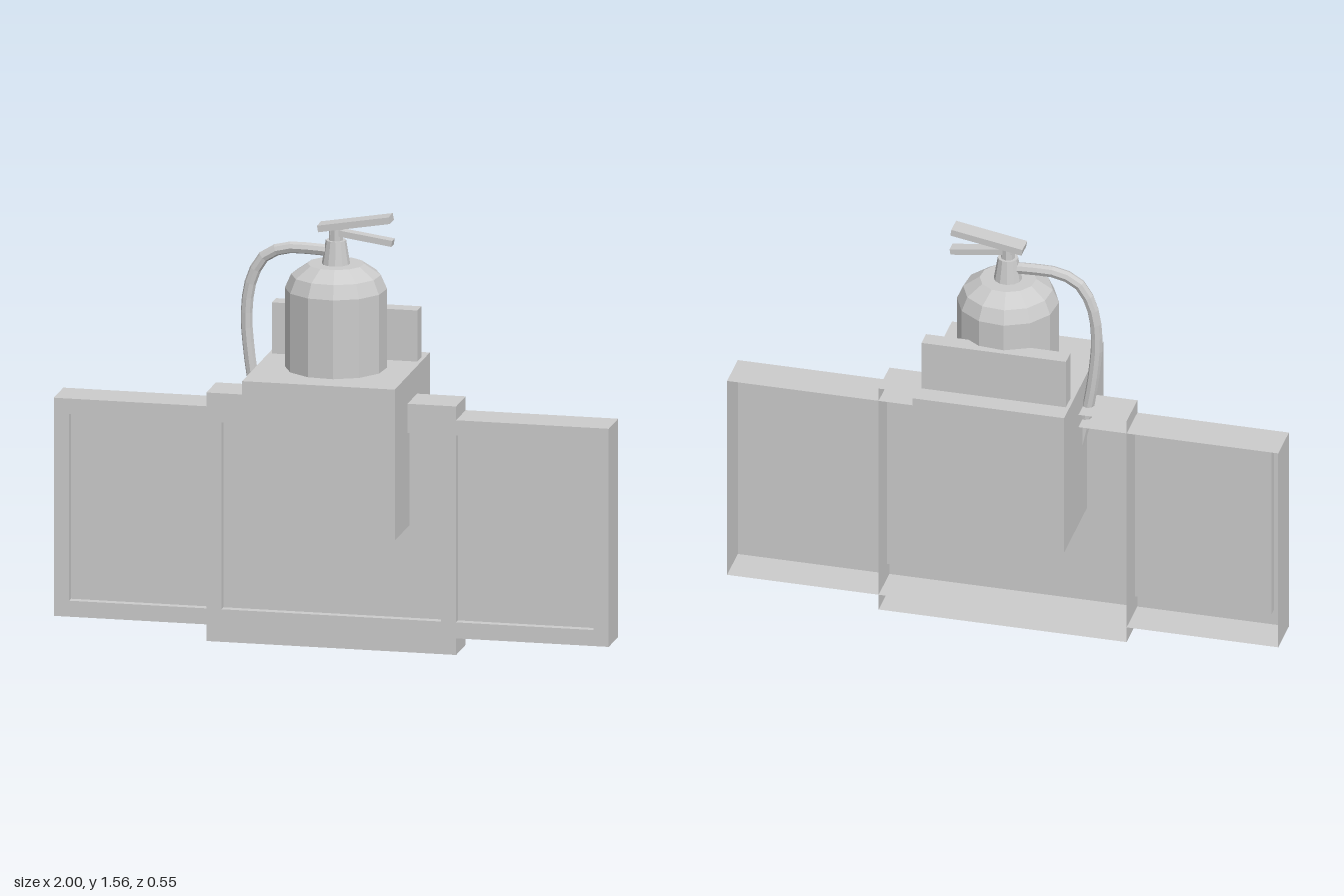
import * as THREE from 'three';

const grey = new THREE.MeshStandardMaterial({ color: 0xcccccc, flatShading: true, side: THREE.DoubleSide });

function add(parent, name, geometry, x = 0, y = 0, z = 0) {
  const mesh = new THREE.Mesh(geometry, grey);
  mesh.name = name;
  mesh.position.set(x, y, z);
  parent.add(mesh);
  return mesh;
}

// Box given by its lower and upper corners
function block(parent, name, [x0, y0, z0], [x1, y1, z1]) {
  return add(parent, name, new THREE.BoxGeometry(x1 - x0, y1 - y0, z1 - z0),
    (x0 + x1) / 2, (y0 + y1) / 2, (z0 + z1) / 2);
}

function rect(Type, x, y0, y1) {
  return new Type([[-x, y0], [x, y0], [x, y1], [-x, y1]].map(p => new THREE.Vector2(...p)));
}

// Four thin walls of a rectangular sleeve between two depths
function sleeve(parent, name, x, y0, y1, zBack, zFront) {
  const depth = zFront - zBack, z = (zFront + zBack) / 2;
  for (const [y, turn] of [[y0, Math.PI / 2], [y1, -Math.PI / 2]])
    add(parent, name, new THREE.PlaneGeometry(2 * x, depth), 0, y, z).rotation.x = turn;
  for (const side of [-1, 1])
    add(parent, name, new THREE.PlaneGeometry(depth, y1 - y0), side * x, (y0 + y1) / 2, z).rotation.y = side * Math.PI / 2;
}

// Shell open at the back, with a sunken field in the front
function tray(name, x, y0, y1, holeX, holeY0, holeY1, zFront) {
  const g = new THREE.Group();
  g.name = name;
  const face = rect(THREE.Shape, x, y0, y1);
  face.holes.push(rect(THREE.Path, holeX, holeY0, holeY1));
  add(g, 'frontFrame', new THREE.ShapeGeometry(face), 0, 0, zFront);
  sleeve(g, 'outerWall', x, y0, y1, -0.075, zFront);
  sleeve(g, 'recessWall', holeX, holeY0, holeY1, 0.045, zFront);
  return g;
}

export function createModel() {
  const model = new THREE.Group();
  model.name = 'extinguisherOnPanel';

  // Wide panel and the taller centre panel across it
  const wide = tray('widePanel', 1, 0.06, 0.85, 0.945, 0.118, 0.795, 0.0745);
  add(wide, 'recessFloor', new THREE.PlaneGeometry(1.89, 0.677), 0, 0.4565, 0.045);
  model.add(wide, tray('centrePanel', 0.45, 0, 0.9, 0.395, 0.118, 0.795, 0.075));

  // Pedestal and back plate
  block(model, 'pedestal', [-0.275, 0.453, -0.275], [0.275, 1, 0.275]);
  block(model, 'backPlate', [-0.262, 1, -0.2], [0.262, 1.185, -0.137]);

  // Bottle with sloping shoulder and tapered neck
  const profile = [[0.18, 1], [0.18, 1.285], [0.158, 1.335], [0.1, 1.375], [0.05, 1.375], [0.036, 1.46], [0, 1.46]];
  add(model, 'bottle', new THREE.LatheGeometry(profile.map(p => new THREE.Vector2(...p)), 12)).rotation.y = 0.17;
  add(model, 'valveStem', new THREE.CylinderGeometry(0.026, 0.026, 0.05, 8), 0, 1.48, 0);

  // Pair of squeeze handles
  add(model, 'upperHandle', new THREE.BoxGeometry(0.262, 0.024, 0.066), 0.07, 1.526, 0).rotation.z = 0.17;
  add(model, 'lowerHandle', new THREE.BoxGeometry(0.225, 0.022, 0.04), 0.094, 1.477, 0).rotation.z = -0.14;

  // Hose arching from the neck down into the pedestal
  const path = [[0, 1.418], [-0.1, 1.424], [-0.19, 1.42], [-0.26, 1.385], [-0.305, 1.3], [-0.322, 1.18],
    [-0.313, 1.04], [-0.292, 0.9], [-0.25, 0.7]];
  const curve = new THREE.CatmullRomCurve3(path.map(([x, y]) => new THREE.Vector3(x, y, 0)));
  add(model, 'hose', new THREE.TubeGeometry(curve, 18, 0.021, 8));

  return model;
}
